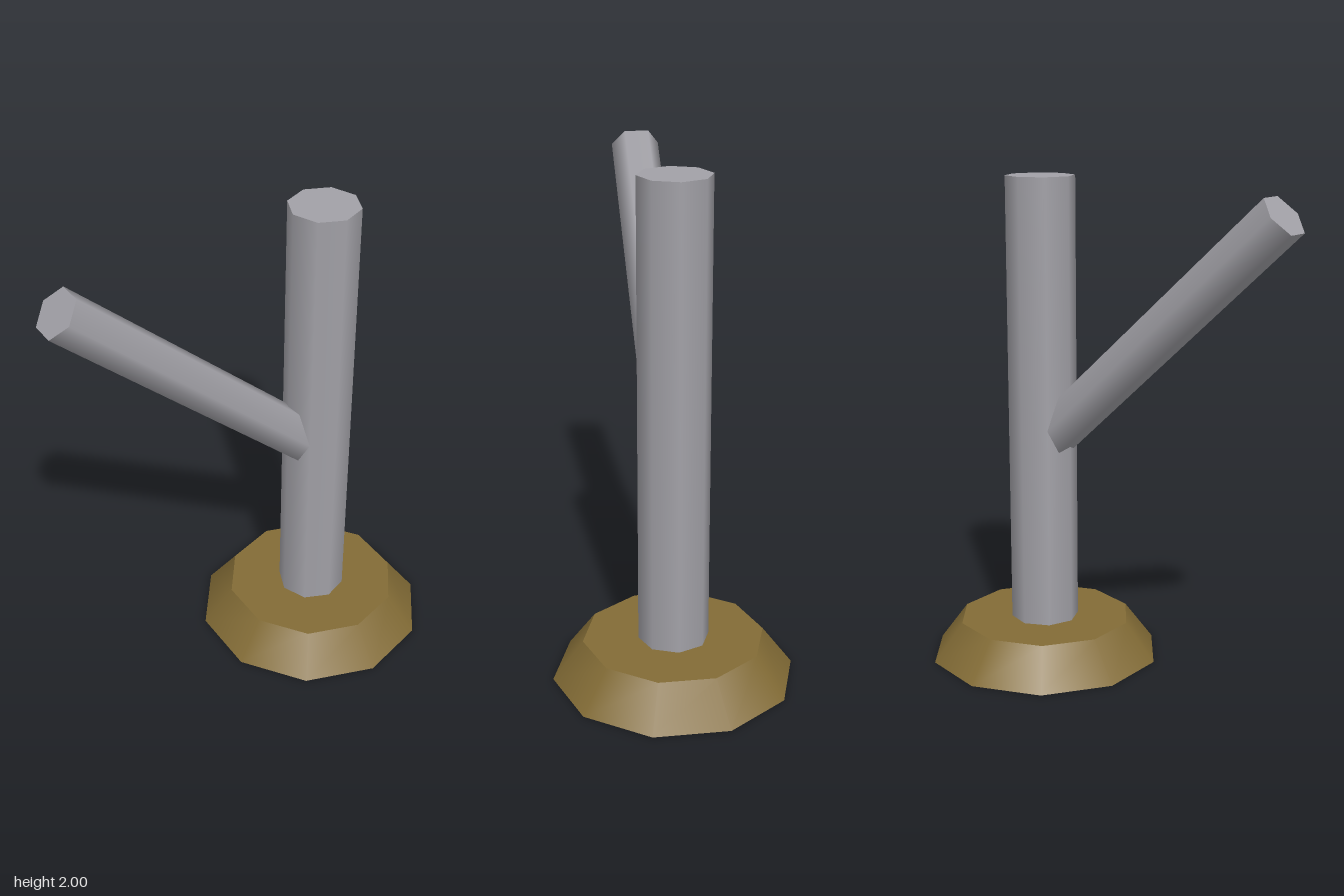
import * as THREE from 'three';

const grey = new THREE.MeshStandardMaterial({ name: 'grey metal', color: 0xa2a1a7 });
const brown = new THREE.MeshStandardMaterial({ name: 'brown base', color: 0x836c36 });

// Low-sided, smooth-shaded cylinder running between two points
function post(name, material, from, to, rBottom, rTop, sides) {
  const a = new THREE.Vector3(...from);
  const b = new THREE.Vector3(...to);
  const axis = b.clone().sub(a);
  const mesh = new THREE.Mesh(
    new THREE.CylinderGeometry(rTop, rBottom, axis.length(), sides), material);
  mesh.name = name;
  mesh.position.copy(a).add(b).multiplyScalar(0.5);
  mesh.quaternion.setFromUnitVectors(new THREE.Vector3(0, 1, 0), axis.normalize());
  return mesh;
}

export function createModel() {
  const group = new THREE.Group();
  group.name = 'branchedPost';
  const x = 0.35;

  // Tapered ten-sided foot
  group.add(post('base', brown, [x, 0, 0], [x, 0.16, 0], 0.48, 0.36, 10));
  // Upright eight-sided post
  group.add(post('upright', grey, [x, 0.1, 0], [x, 2, 0], 0.14, 0.14, 8));
  // Slanted six-sided arm, rooted inside the upright
  group.add(post('arm', grey, [x, 0.9, 0], [-0.748, 1.903, 0], 0.098, 0.098, 6));

  return group;
}
